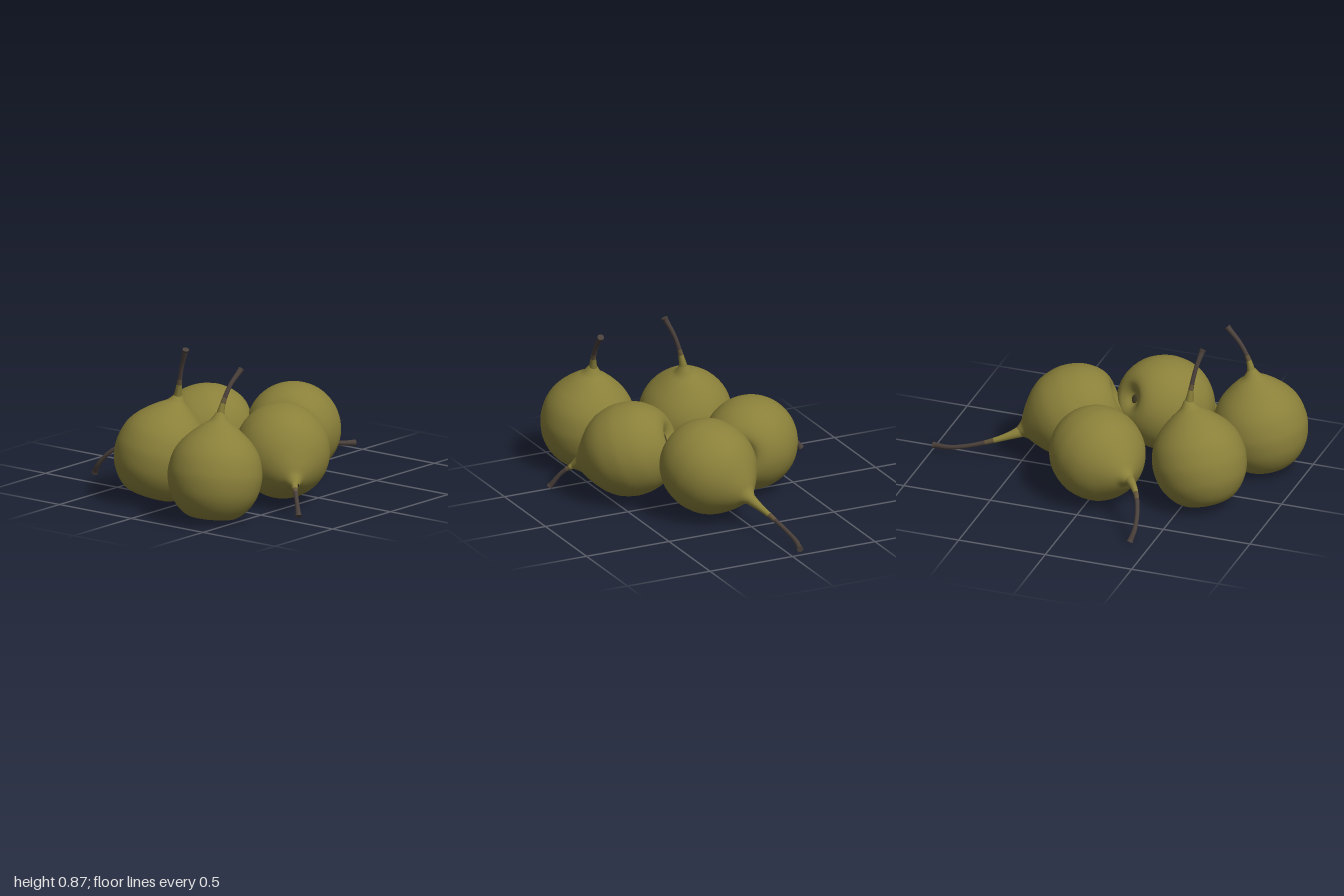
import * as THREE from 'three';

const mat = (name, color) => {
  const m = new THREE.MeshStandardMaterial({ color });
  m.name = name;
  return m;
};
const V = (p) => new THREE.Vector3(...p);
const UP = new THREE.Vector3(0, 1, 0);
const CENTER_Y = 0.25; // height of the body's middle on its own axis

// Each pear: middle of the body, point where the neck leaves it, stem path
const PEARS = [
  { name: 'frontLeftPear', center: [0.375, 0.25, 0.74], neck: [0.37, 0.55, 0.695],
    stem: [[0.37, 0.56, 0.69], [0.376, 0.63, 0.67], [0.383, 0.715, 0.62], [0.395, 0.785, 0.55]] },
  { name: 'frontRightPear', center: [-0.13, 0.255, 0.57], neck: [-0.085, 0.53, 0.497],
    stem: [[-0.085, 0.53, 0.496], [-0.07, 0.62, 0.5], [-0.04, 0.73, 0.515], [0.005, 0.83, 0.538]] },
  { name: 'leftPear', center: [0.405, 0.265, 0.19], neck: [0.63, 0.155, 0.37],
    stem: [[0.635, 0.15, 0.378], [0.69, 0.095, 0.428], [0.735, 0.02, 0.467]] },
  { name: 'backPear', center: [0.128, 0.265, -0.25], neck: [0.0, 0.14, -0.55],
    stem: [[0.0, 0.135, -0.55], [-0.04, 0.09, -0.67], [-0.066, 0.05, -0.8], [-0.07, 0.028, -0.9], [-0.053, 0.017, -0.98]] },
  { name: 'rightPear', center: [-0.265, 0.25, 0.04], neck: [-0.45, 0.23, 0.275],
    stem: [[-0.455, 0.23, 0.285], [-0.54, 0.202, 0.355], [-0.64, 0.135, 0.4], [-0.705, 0.065, 0.408], [-0.737, 0.017, 0.397]] },
];

// Body profile from the sunken calyx up to the shoulder of the neck
function bodyGeometry() {
  const profile = new THREE.SplineCurve([
    [0.001, 0.036], [0.03, 0.032], [0.06, 0.012], [0.1, 0], [0.15, 0.018], [0.2, 0.065],
    [0.24, 0.135], [0.257, 0.22], [0.253, 0.285], [0.233, 0.355], [0.195, 0.415],
    [0.145, 0.465], [0.095, 0.505], [0.055, 0.532], [0.034, 0.558], [0.02, 0.58],
  ].map(([r, y]) => new THREE.Vector2(r, y)));
  return new THREE.LatheGeometry(profile.getPoints(60), 56);
}

// Tube whose rings are scaled so it narrows from the neck and widens at the tip
function stemGeometry(path) {
  const segments = 32, sides = 12;
  const geo = new THREE.TubeGeometry(path, segments, 1, sides);
  const pos = geo.attributes.position;
  const v = new THREE.Vector3();
  for (let i = 0; i <= segments; i++) {
    const t = i / segments;
    const c = path.getPointAt(t);
    const radius = 0.0115 + 0.036 * Math.pow(1 - t, 5) + 0.004 * Math.pow(t, 6);
    for (let j = 0; j <= sides; j++) {
      const k = i * (sides + 1) + j;
      v.fromBufferAttribute(pos, k).sub(c).multiplyScalar(radius).add(c);
      pos.setXYZ(k, v.x, v.y, v.z);
    }
  }
  // green neck, brownish transition, dark stalk
  const per = sides * 6;
  [[0, 12, 0], [12, 15, 1], [15, segments, 2]].forEach(([a, b, m]) =>
    geo.addGroup(a * per, (b - a) * per, m));
  return geo;
}

export function createModel() {
  const skin = mat('oliveSkin', 0x8a803a);
  const transition = mat('neckBrown', 0x625439);
  const bark = mat('darkStem', 0x4a403b);
  const calyxMat = mat('calyxBrown', 0x4a4228);

  const body = bodyGeometry();
  const calyxGeo = new THREE.SphereGeometry(0.028, 20, 10);
  calyxGeo.scale(1, 0.25, 0.85);
  const tipGeo = new THREE.CylinderGeometry(0.018, 0.013, 0.026, 14);

  const model = new THREE.Group();
  model.name = 'pears';
  const add = (parent, name, geo, material) => {
    const mesh = new THREE.Mesh(geo, material);
    mesh.name = name;
    parent.add(mesh);
    return mesh;
  };

  for (const { name, center, neck, stem } of PEARS) {
    const pear = new THREE.Group();
    pear.name = name;
    const c = V(center);
    const axis = V(neck).sub(c).normalize();

    // Fruit and calyx, turned onto the pear's axis
    const fruit = new THREE.Group();
    fruit.name = 'fruit';
    fruit.quaternion.setFromUnitVectors(UP, axis);
    fruit.position.copy(c).addScaledVector(axis, -CENTER_Y);
    add(fruit, 'body', body, skin);
    add(fruit, 'calyx', calyxGeo, calyxMat).position.y = 0.032;
    pear.add(fruit);

    // Curved stem with a slightly swollen tip
    const start = c.clone().addScaledVector(axis, 0.255);
    const path = new THREE.CatmullRomCurve3([start, ...stem.map(V)]);
    add(pear, 'stem', stemGeometry(path), [skin, transition, bark]);
    const tip = add(pear, 'stemTip', tipGeo, bark);
    tip.position.copy(path.getPointAt(1));
    tip.quaternion.setFromUnitVectors(UP, path.getTangentAt(1));

    model.add(pear);
  }
  return model;
}
